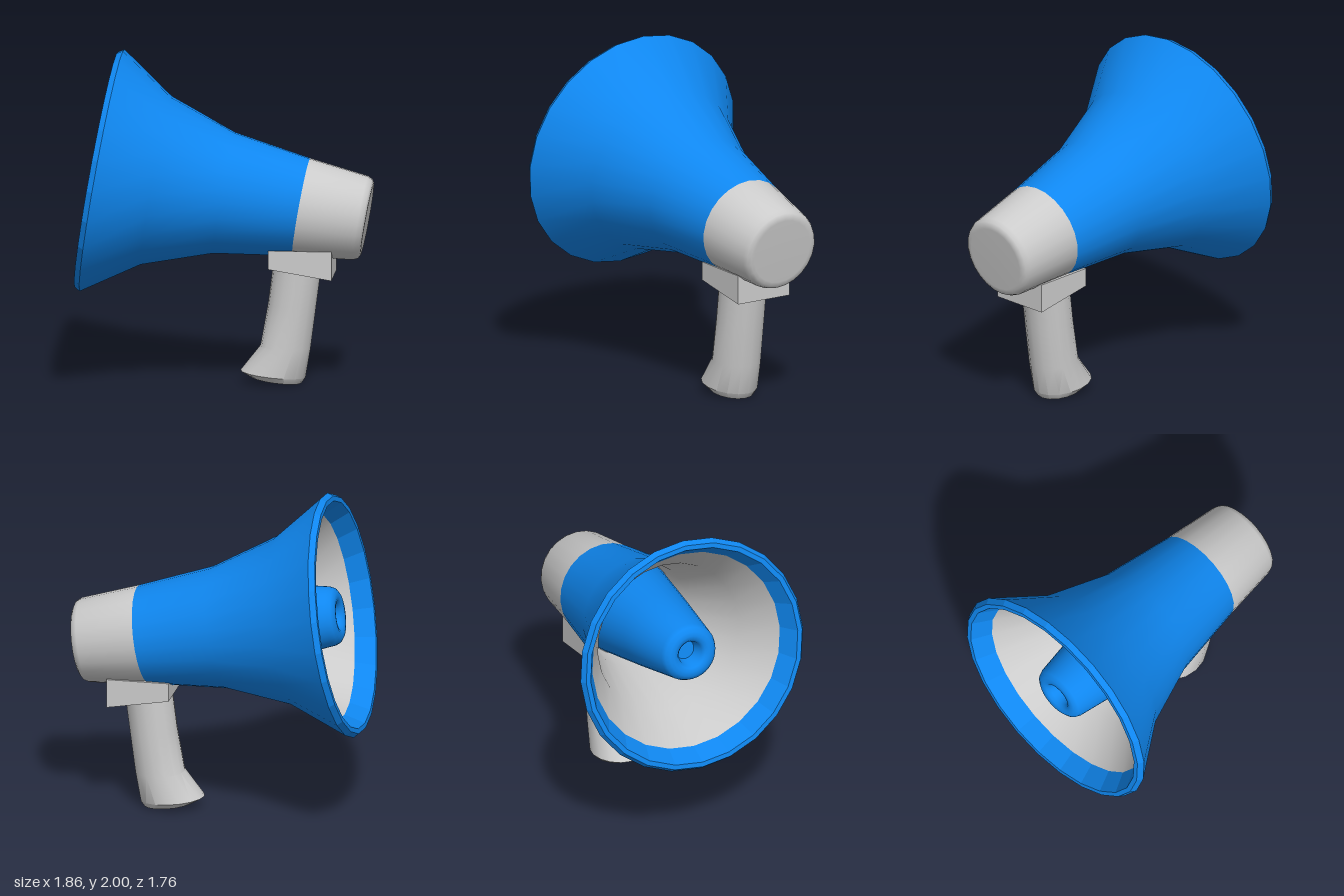
import * as THREE from 'three';
import { toCreasedNormals } from 'three/addons/utils/BufferGeometryUtils.js';

const BLUE = 0x0f87f0, GREY = 0xcccccc;
const YAW = -0.882, PITCH = -0.169;

function part(name, geometry, color, crease = 0.6) {
  const material = new THREE.MeshStandardMaterial({ color, side: THREE.DoubleSide });
  const mesh = new THREE.Mesh(toCreasedNormals(geometry, crease), material);
  mesh.name = name;
  return mesh;
}

// Turned part along the horn axis: points are [distance behind the mouth, radius]
function turned(name, points, color, crease, sides = 24) {
  const profile = points.map(([t, r]) => new THREE.Vector2(r, -t));
  return part(name, new THREE.LatheGeometry(profile, sides).rotateX(Math.PI / 2), color, crease);
}

// Box whose underside slopes down towards the back
function wedgeMount() {
  const geo = new THREE.BoxGeometry(0.37, 1, 0.38);
  const p = geo.attributes.position;
  for (let i = 0; i < p.count; i++) {
    p.setY(i, p.getY(i) > 0 ? 0.832 : p.getZ(i) > 0 ? 0.72 : 0.656);
  }
  return part('handleMount', geo, GREY, 0.2);
}

// Grip lofted through oval sections, with a flared foot pointing forward
function grip() {
  // [height, centre z, half depth, half width, tilt]
  const rows = [
    [0.75, 0.025, 0.145, 0.145, 0],
    [0.48, 0.06, 0.145, 0.145, 0],
    [0.22, 0.1, 0.15, 0.145, 0.05],
    [0.055, 0.175, 0.195, 0.155, 0.1],
    [0.018, 0.155, 0.15, 0.125, 0.12],
  ];
  const geo = new THREE.CylinderGeometry(1, 1, rows.length - 1, 16, rows.length - 1);
  const p = geo.attributes.position;
  for (let i = 0; i < p.count; i++) {
    const [y, zc, depth, width, tilt] = rows[Math.round((rows.length - 1) / 2 - p.getY(i))];
    const dz = p.getZ(i) * depth;
    p.setXYZ(i, p.getX(i) * width, y + tilt * dz, zc + dz);
  }
  return part('grip', geo, GREY, 0.55);
}

export function createModel() {
  const model = new THREE.Group();
  model.name = 'megaphone';

  // Horn, tilted up along its axis
  const horn = new THREE.Group();
  horn.name = 'horn';
  horn.position.set(-0.455, 1.273, 0.315);
  horn.rotation.set(PITCH, YAW, 0, 'YXZ');
  horn.add(
    turned('bell', [[1.21, 0.297], [0.742, 0.368], [0.33, 0.512], [0, 0.736]], BLUE, 0.7),
    turned('rim', [[0, 0.736], [-0.035, 0.715], [-0.035, 0.685], [0.08, 0.62]], BLUE, 0.2),
    turned('bellLining', [[0.08, 0.62], [0.33, 0.465], [0.74, 0.33], [0.92, 0.305], [0.92, 0]], GREY, 0.7),
    turned('innerCone', [
      [0.91, 0.3], [0.45, 0.238], [0.05, 0.178], [0.02, 0.165], [0.003, 0.14],
      [0, 0.115], [0.005, 0.09], [0.025, 0.075], [0.1, 0.06], [0.1, 0],
    ], BLUE, 0.8, 32),
    turned('rearHousing', [
      [1.595, 0], [1.612, 0.2], [1.61, 0.222], [1.598, 0.242], [1.57, 0.255], [1.21, 0.297],
    ], GREY, 0.8),
  );

  // Handle, upright but turned with the horn
  const handle = new THREE.Group();
  handle.name = 'handle';
  handle.position.set(0.467, 0, -0.45);
  handle.rotation.y = YAW;
  handle.add(wedgeMount(), grip());

  model.add(horn, handle);
  return model;
}
